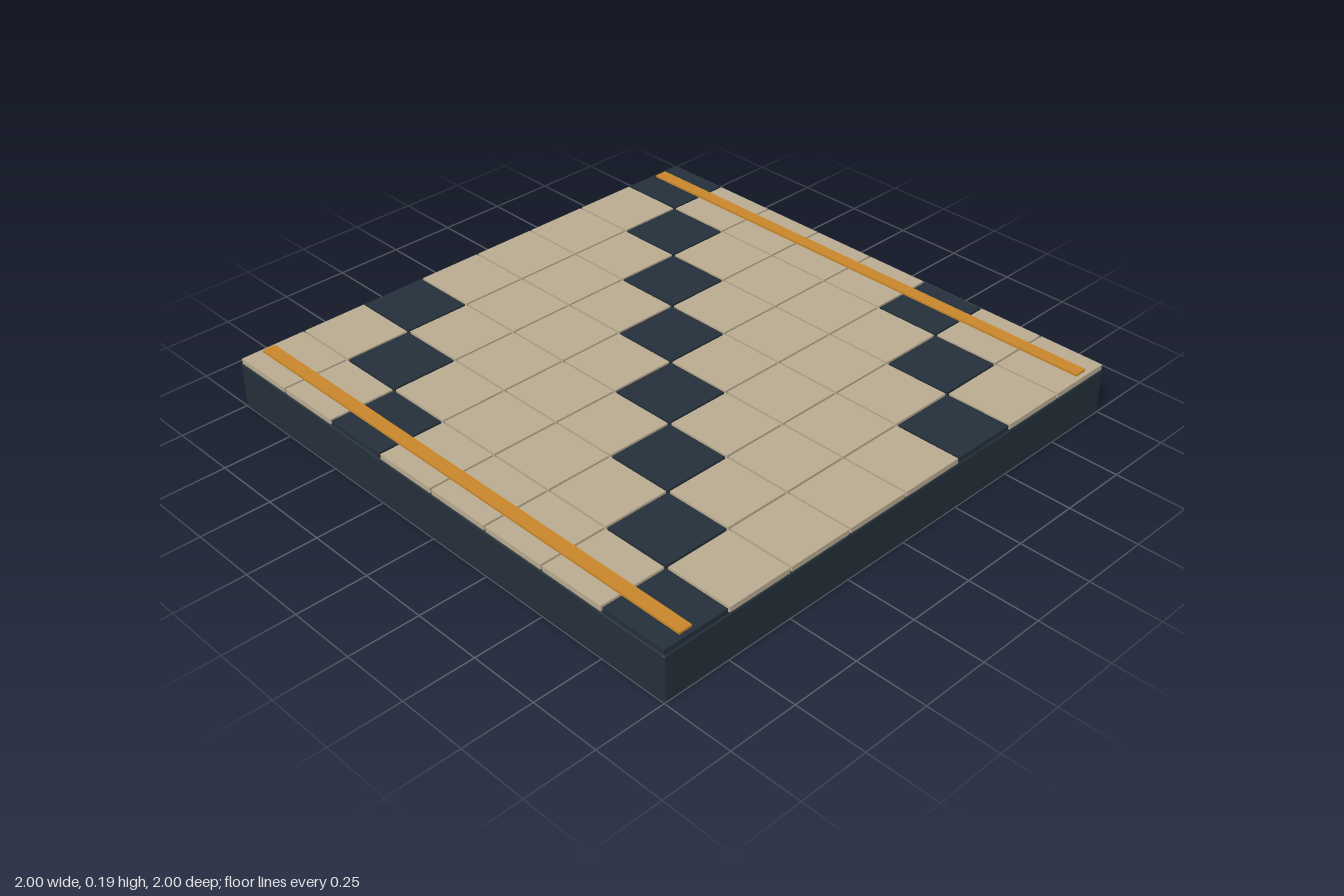
import * as THREE from 'three';
import { RoundedBoxGeometry } from 'three/addons/geometries/RoundedBoxGeometry.js';

const CELLS = 8, CELL = 0.25, TILE = 0.242;
const BASE_TOP = 0.167, TILE_TOP = 0.186, RAIL_TOP = 0.194;

function material(name, color) {
  const m = new THREE.MeshStandardMaterial({ color });
  m.name = name;
  return m;
}

export function createModel() {
  const model = new THREE.Group();
  model.name = 'tiledFloorPanel';
  const slate = material('dark slate', 0x25303a);
  const sand = material('sand', 0xb9ab90);
  const amber = material('amber', 0xc8862a);

  const add = (name, geometry, mat, x, y, z) => {
    const mesh = new THREE.Mesh(geometry, mat);
    mesh.name = name;
    mesh.position.set(x, y, z);
    model.add(mesh);
  };

  // Slab with slightly softened edges
  add('baseSlab', new RoundedBoxGeometry(2, BASE_TOP, 2, 2, 0.006), slate, 0, BASE_TOP / 2, 0);

  // Tiles, dark along every fifth diagonal
  const tile = new THREE.BoxGeometry(TILE, TILE_TOP - BASE_TOP, TILE);
  for (let row = 0; row < CELLS; row++) {
    for (let col = 0; col < CELLS; col++) {
      const dark = (row + col) % 5 === 2;
      add(dark ? 'darkTile' : 'lightTile', tile, dark ? slate : sand,
        (col + 0.5) * CELL - 1, (BASE_TOP + TILE_TOP) / 2, (row + 0.5) * CELL - 1);
    }
  }

  // Thin marking strips along both sides
  const strip = new THREE.BoxGeometry(0.048, RAIL_TOP - TILE_TOP + 0.001, 1.96);
  for (const side of [-1, 1]) {
    add(side > 0 ? 'leftStrip' : 'rightStrip', strip, amber,
      side * 0.9, (TILE_TOP + RAIL_TOP - 0.001) / 2, 0);
  }
  return model;
}
